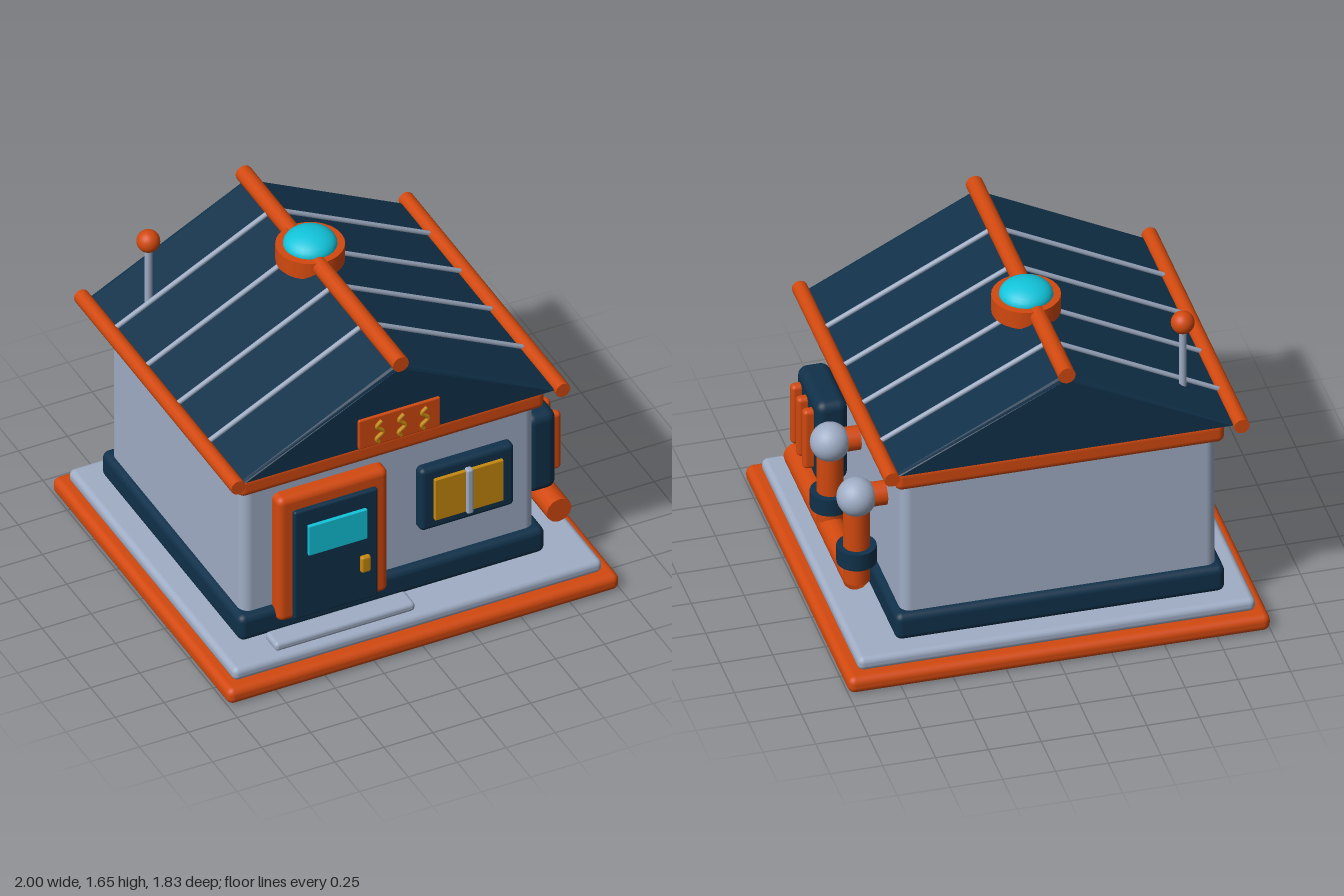
import * as THREE from 'three';
import { RoundedBoxGeometry } from 'three/addons/geometries/RoundedBoxGeometry.js';

const material = (name, color) => {
  const m = new THREE.MeshStandardMaterial({ color });
  m.name = name;
  return m;
};

export function createModel() {
  const orange = material('burnt orange', 0xd2490f);
  const navy = material('navy', 0x10314a);
  const grey = material('blue grey', 0x9fadc5);
  const cyan = material('cyan', 0x12c4db);
  const amber = material('amber', 0xc5880e);

  const house = new THREE.Group();
  house.name = 'house';

  const add = (name, geometry, mat, parent = house) => {
    const mesh = new THREE.Mesh(geometry, mat);
    mesh.name = name;
    parent.add(mesh);
    return mesh;
  };
  const group = (name) => {
    const g = new THREE.Group();
    g.name = name;
    house.add(g);
    return g;
  };
  // Rounded box given by its extents on each axis
  const box = (name, mat, [x0, x1], [y0, y1], [z0, z1], radius, parent) => {
    const mesh = add(name, new RoundedBoxGeometry(x1 - x0, y1 - y0, z1 - z0, 3, radius), mat, parent);
    mesh.position.set((x0 + x1) / 2, (y0 + y1) / 2, (z0 + z1) / 2);
    return mesh;
  };
  // Cylinder between two points
  const rod = (name, mat, from, to, radius, sides, parent) => {
    const a = new THREE.Vector3(...from), b = new THREE.Vector3(...to);
    const dir = b.clone().sub(a);
    const mesh = add(name, new THREE.CylinderGeometry(radius, radius, dir.length(), sides), mat, parent);
    mesh.position.copy(a).add(b).multiplyScalar(0.5);
    mesh.quaternion.setFromUnitVectors(new THREE.Vector3(0, 1, 0), dir.normalize());
    return mesh;
  };
  const ball = (name, mat, position, radius, parent) => {
    const mesh = add(name, new THREE.SphereGeometry(radius, 24, 16), mat, parent);
    mesh.position.set(...position);
    return mesh;
  };

  // Ground slabs and walls
  box('baseSlab', orange, [-1, 1], [0, 0.085], [-0.915, 0.915], 0.035);
  box('upperSlab', grey, [-0.945, 0.94], [0.08, 0.15], [-0.857, 0.857], 0.03);
  box('plinth', navy, [-0.827, 0.735], [0.145, 0.285], [-0.757, 0.68], 0.035);
  box('walls', grey, [-0.795, 0.7], [0.2, 1.1], [-0.722, 0.64], 0.05);
  box('wallBand', orange, [-0.827, 0.735], [0.97, 1.08], [-0.757, 0.68], 0.035);

  // Gabled roof with bevelled ends
  const ridgeX = -0.048;
  const gable = new THREE.Shape([
    new THREE.Vector2(-0.86, 1.11), new THREE.Vector2(0.765, 1.11), new THREE.Vector2(ridgeX, 1.53),
  ]);
  const bevel = 0.02;
  const roof = add('roof', new THREE.ExtrudeGeometry(gable, {
    depth: 1.582 - 2 * bevel, bevelEnabled: true, bevelSize: bevel,
    bevelThickness: bevel, bevelOffset: -bevel, bevelSegments: 2,
  }), navy);
  roof.position.z = -0.835 + bevel;

  const roofTrim = group('roofTrim');
  rod('ridgeRod', orange, [ridgeX, 1.545, -0.855], [ridgeX, 1.545, 0.765], 0.041, 12, roofTrim);
  for (const x of [-0.877, 0.78]) {
    rod('eaveRod', orange, [x, 1.117, -0.855], [x, 1.117, 0.765], 0.037, 12, roofTrim);
    for (const z of [0.405, 0.085, -0.235, -0.553]) {
      rod('roofBatten', grey, [x, 1.118, z], [ridgeX, 1.54, z], 0.012, 8, roofTrim);
    }
  }

  // Domed skylight on the ridge
  const skylight = group('skylight');
  rod('skylightCollar', orange, [-0.03, 1.487, -0.205], [-0.03, 1.577, -0.205], 0.16, 28, skylight);
  ball('skylightDome', cyan, [-0.03, 1.575, -0.205], 0.126, skylight).scale.y = 0.56;

  // Antenna
  const antenna = group('antenna');
  rod('antennaMast', grey, [-0.67, 1.17, -0.58], [-0.67, 1.53, -0.58], 0.018, 12, antenna);
  ball('antennaBall', orange, [-0.67, 1.55, -0.58], 0.055, antenna);

  // Sign on the gable with three wavy lines
  const sign = group('sign');
  box('signBoard', orange, [-0.26, 0.157], [1.12, 1.285], [0.71, 0.76], 0.008, sign);
  for (const x of [-0.163, -0.05, 0.067]) {
    const points = [[0.012, 1.268], [-0.015, 1.24], [0.018, 1.205], [-0.017, 1.17], [-0.004, 1.15]]
      .map(([dx, y]) => new THREE.Vector3(x + dx, y, 0.778));
    add('wavyLine', new THREE.TubeGeometry(new THREE.CatmullRomCurve3(points), 20, 0.01, 8), amber, sign);
  }

  // Door and step
  const door = group('door');
  box('doorFrame', orange, [-0.645, -0.08], [0.215, 0.92], [0.6, 0.71], 0.035, door);
  box('doorPanel', navy, [-0.575, -0.147], [0.23, 0.845], [0.65, 0.732], 0.012, door);
  box('doorWindow', cyan, [-0.51, -0.21], [0.59, 0.757], [0.73, 0.75], 0.004, door);
  box('doorHandle', amber, [-0.255, -0.205], [0.42, 0.51], [0.75, 0.78], 0.012, door);
  box('doorStep', grey, [-0.715, 0], [0.152, 0.2], [0.705, 0.822], 0.02);

  // Front window with two panes
  const windowUnit = group('window');
  box('windowFrame', navy, [0.09, 0.57], [0.48, 0.83], [0.6, 0.692], 0.025, windowUnit);
  box('leftPane', amber, [0.155, 0.326], [0.54, 0.772], [0.68, 0.71], 0.004, windowUnit);
  box('rightPane', amber, [0.332, 0.505], [0.54, 0.772], [0.68, 0.71], 0.004, windowUnit);
  box('mullion', grey, [0.311, 0.344], [0.533, 0.785], [0.69, 0.727], 0.01, windowUnit);

  // Vent box on the side wall
  const vent = group('ventBox');
  box('ventCasing', navy, [0.698, 0.85], [0.4, 0.84], [0.2, 0.57], 0.045, vent);
  for (const z of [0.49, 0.385, 0.28]) {
    box('ventFin', orange, [0.835, 0.898], [0.46, 0.78], [z - 0.025, z + 0.025], 0.02, vent);
  }

  // Side pipework: one main with two risers turning into the wall
  const pipes = group('pipework');
  const px = 0.835;
  rod('mainPipe', orange, [px, 0.307, -0.435], [px, 0.307, 0.613], 0.063, 12, pipes);
  for (const z of [0.03, -0.432]) {
    rod('riser', orange, [px, 0.305, z], [px, 0.76, z], 0.063, 16, pipes);
    rod('riserCollar', navy, [px, 0.405, z], [px, 0.493, z], 0.093, 20, pipes);
    ball('riserElbow', grey, [px, 0.757, z], 0.093, pipes);
    rod('wallStub', orange, [0.68, 0.757, z], [px, 0.757, z], 0.058, 16, pipes);
  }

  return house;
}
